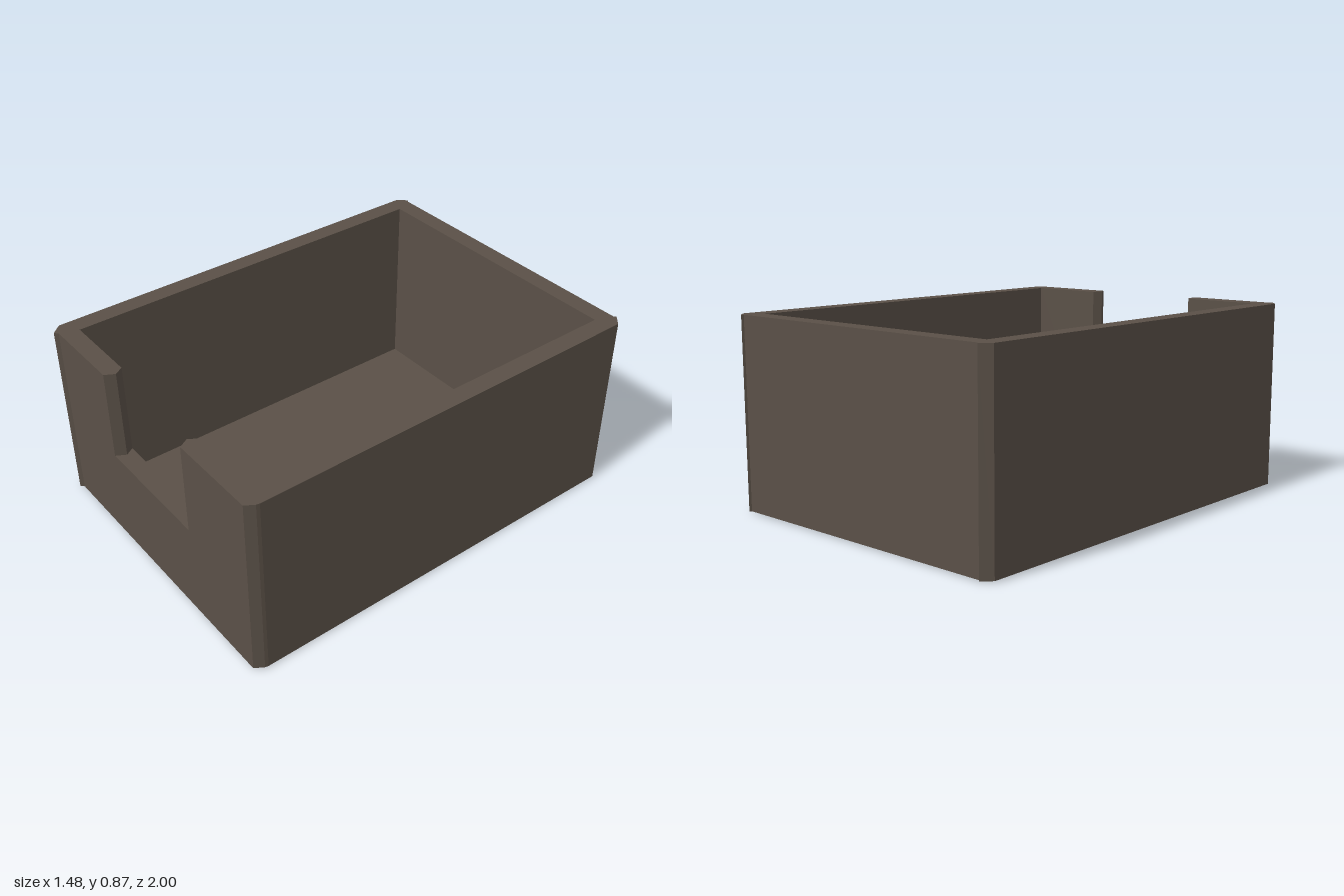
import * as THREE from 'three';

const WALL_BASE = 0.006, SILL = 0.445, TOP = 0.87;

// Extrude an [x, z] plan upwards between two heights
function plan(points, y0, y1) {
  const shape = new THREE.Shape(points.map(([x, z]) => new THREE.Vector2(x, -z)));
  const geo = new THREE.ExtrudeGeometry(shape, { depth: y1 - y0, bevelEnabled: false });
  geo.rotateX(-Math.PI / 2);
  geo.translate(0, y0, 0);
  return geo;
}

export function createModel() {
  const group = new THREE.Group();
  const brown = new THREE.MeshStandardMaterial({ color: 0x5a5047 });
  brown.name = 'dark brown';

  const add = (name, geo) => {
    const mesh = new THREE.Mesh(geo, brown);
    mesh.name = name;
    group.add(mesh);
  };

  // Pointed ends of the front wall where the notch is cut
  const leftEnd = [[0.295, 0.985], [0.27, 0.94], [0.295, 0.9]];
  const rightEnd = [[-0.295, 0.9], [-0.27, 0.94], [-0.295, 0.985]];

  // Full-height walls with chamfered corners, open at the front notch
  add('walls', plan([
    ...rightEnd,
    [-0.685, 0.985], [-0.70, 1.0], [-0.74, 0.955],
    [-0.74, -0.96], [-0.70, -1.0], [-0.69, -0.99],
    [0.69, -0.99], [0.695, -1.0], [0.74, -0.96],
    [0.74, 0.93], [0.737, 0.945], [0.712, 0.985],
    ...leftEnd,
    [0.655, 0.9], [0.655, -0.905], [-0.655, -0.905], [-0.655, 0.9],
  ], WALL_BASE, TOP));

  // Low part of the front wall below the notch
  add('frontSill', plan([...leftEnd, ...rightEnd], WALL_BASE, SILL));

  // Thin floor panel, just proud of the wall bottoms
  add('floor', plan([[-0.66, 0.92], [0.7, 0.92], [0.7, -0.91], [-0.66, -0.91]], 0, 0.016));

  return group;
}
